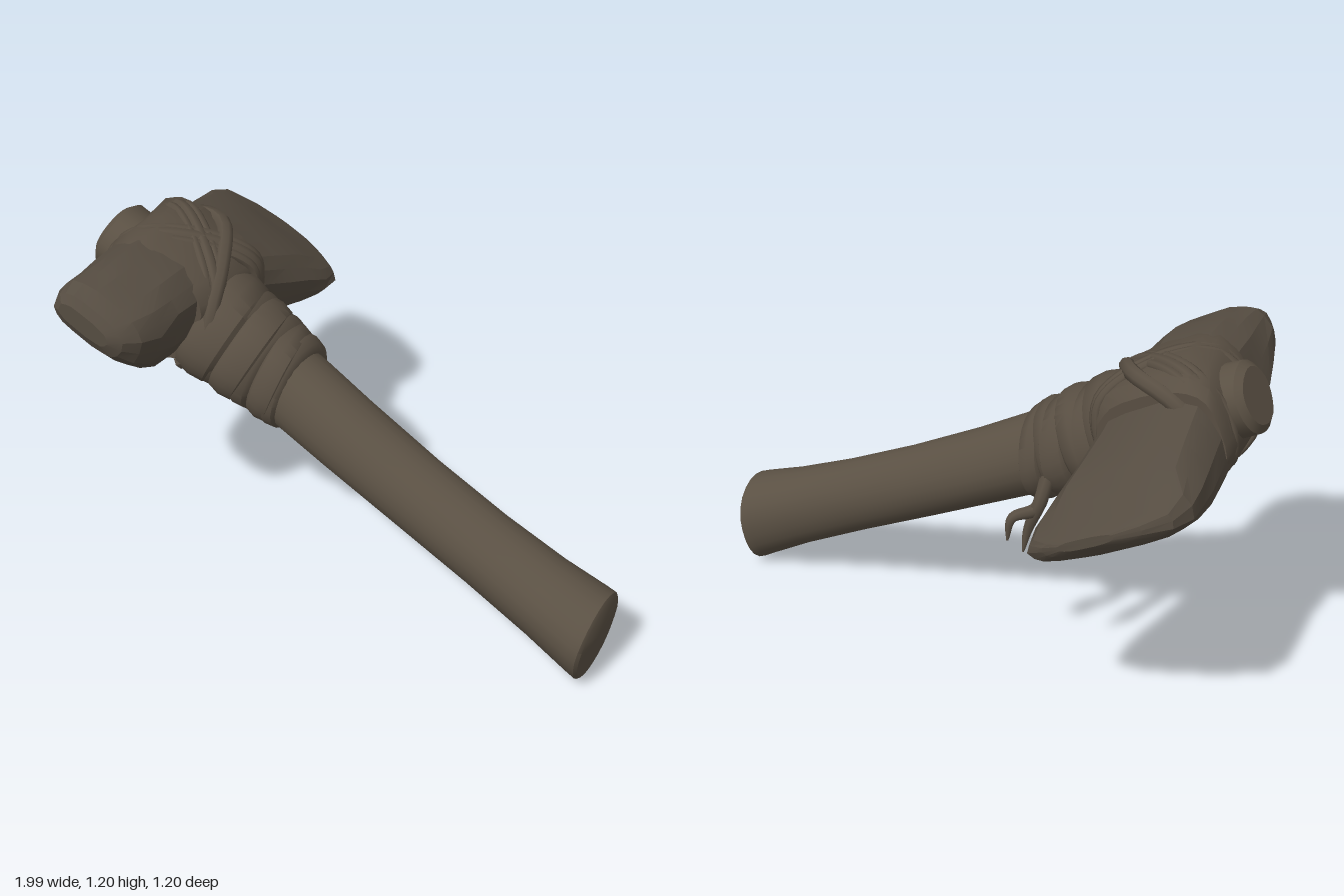
import * as THREE from 'three';
import { toCreasedNormals } from 'three/addons/utils/BufferGeometryUtils.js';

const V = (x, y, z) => new THREE.Vector3(x, y, z);
const TILT = Math.atan(0.4856);

// Skin a list of rings, closed by a fan at both ends
function loft(rings, crease) {
  const n = rings[0].length, pos = [], idx = [];
  rings.forEach(r => r.forEach(p => pos.push(p.x, p.y, p.z)));
  for (let i = 0; i < rings.length - 1; i++)
    for (let j = 0; j < n; j++) {
      const a = i * n + j, b = i * n + (j + 1) % n;
      idx.push(a, b, a + n, b, b + n, a + n);
    }
  [0, rings.length - 1].forEach((k, end) => {
    const c = rings[k].reduce((s, p) => s.add(p), V(0, 0, 0)).divideScalar(n);
    const ci = pos.length / 3;
    pos.push(c.x, c.y, c.z);
    for (let j = 0; j < n; j++) {
      const a = k * n + j, b = k * n + (j + 1) % n;
      idx.push(ci, end ? a : b, end ? b : a);
    }
  });
  const g = new THREE.BufferGeometry();
  g.setAttribute('position', new THREE.Float32BufferAttribute(pos, 3));
  g.setIndex(idx);
  return toCreasedNormals(g, crease);
}

// Superellipse outline point: exponent below 1 squares the corners
const sq = (v, e) => Math.sign(v) * Math.abs(v) ** e;

// Ring across z, for the stone and the lashing under-wrap
function zRing([z, x, y, hx, hy], n, e, rough) {
  return Array.from({ length: n }, (_, j) => {
    const a = (j / n) * Math.PI * 2;
    const k = 1 + rough * Math.sin(j * 5.3 + z * 23) * Math.cos(j * 2.1 - z * 31);
    return V(x + hx * sq(Math.cos(a), e) * k, y + hy * sq(Math.sin(a), e) * k, z);
  });
}

// Ring across the handle direction, with a lean of the ring plane
function xRing([x, y, z, ry, rz], n, leanY, leanZ, rough) {
  return Array.from({ length: n }, (_, j) => {
    const a = (j / n) * Math.PI * 2;
    const k = 1 + rough * Math.sin(a * 3 + x * 2) + rough * 0.6 * Math.sin(a * 5 - x * 3);
    const dy = ry * Math.cos(a) * k, dz = rz * Math.sin(a) * k;
    return V(x + dy * leanY + dz * leanZ, y + dy, z + dz);
  });
}

// Cord along points; taper shrinks it towards its tip
function cord(points, radius, closed, taper = 0) {
  const curve = new THREE.CatmullRomCurve3(points, closed);
  const segs = closed ? 56 : 20, sides = 8;
  const g = new THREE.TubeGeometry(curve, segs, radius, sides, closed);
  const p = g.attributes.position, v = V(0, 0, 0);
  for (let i = 0; i < p.count && taper; i++) {
    const t = Math.floor(i / (sides + 1)) / segs, c = curve.getPointAt(t);
    v.fromBufferAttribute(p, i).sub(c).multiplyScalar(1 - taper * t * t * t).add(c);
    p.setXYZ(i, v.x, v.y, v.z);
  }
  g.computeVertexNormals();
  return g;
}

export function createModel() {
  const root = new THREE.Group();
  const axe = new THREE.Group();
  axe.name = 'axe';
  axe.position.set(-0.71, 0.973, 0);
  axe.rotation.z = -TILT;
  root.add(axe);

  const make = (color, name) => {
    const m = new THREE.MeshStandardMaterial({ color });
    m.name = name;
    return m;
  };
  const wood = make(0x5b5144, 'wood');
  const stone = make(0x554c41, 'stone');
  const hide = make(0x584e42, 'hide');
  const add = (geometry, material, name, parent = axe) => {
    const mesh = new THREE.Mesh(geometry, material);
    mesh.name = name;
    parent.add(mesh);
  };

  // Handle: x, y, z, radius in y, radius in z, lean
  const handle = [
    [-0.275, 0, 0.075, 0.095, 0.1, 0], [-0.255, 0, 0.075, 0.12, 0.125, 0],
    [0, 0, 0.085, 0.13, 0.13, 0], [0.45, -0.012, 0.105, 0.142, 0.14, 0],
    [0.8, -0.018, 0.122, 0.132, 0.135, 0], [1.1, -0.018, 0.135, 0.129, 0.128, -0.05],
    [1.4, -0.012, 0.148, 0.13, 0.128, -0.15], [1.65, -0.005, 0.158, 0.138, 0.138, -0.25],
    [1.82, 0, 0.163, 0.152, 0.152, -0.3], [1.858, 0, 0.163, 0.155, 0.153, -0.3],
    [1.868, 0, 0.163, 0.143, 0.14, -0.3],
  ];
  add(loft(handle.map(s => xRing(s, 24, s[5], 0, 0.018)), 0.6), wood, 'handle');

  // Stone head: z, x, y, half width, half thickness; thin cutting edge at the back
  const head = [
    [-0.602, 0.1, -0.11, 0.1, 0.016], [-0.585, 0.09, -0.115, 0.18, 0.03],
    [-0.55, 0.082, -0.12, 0.262, 0.052],
    [-0.47, 0.068, -0.115, 0.28, 0.09], [-0.39, 0.052, -0.1, 0.265, 0.12],
    [-0.28, 0.036, -0.083, 0.243, 0.145], [-0.17, 0.018, -0.055, 0.225, 0.158],
    [-0.05, 0, -0.02, 0.212, 0.168], [0.1, 0, 0.005, 0.2, 0.185],
    [0.25, 0.002, 0.02, 0.192, 0.19], [0.36, 0, 0.03, 0.19, 0.18],
    [0.45, -0.005, 0.052, 0.182, 0.148], [0.53, -0.018, 0.078, 0.168, 0.106],
    [0.58, -0.03, 0.088, 0.138, 0.07], [0.6, -0.04, 0.092, 0.1, 0.035],
  ];
  add(loft(head.map(s => zRing(s, 18, 0.72, 0.035)), 0.3), stone, 'stoneHead');

  // Under-wrap covering the joint between stone and handle
  const wrap = [
    [-0.13, 0, -0.015, 0.215, 0.165], [-0.09, 0.01, 0, 0.235, 0.19],
    [0.06, 0.015, 0.005, 0.225, 0.208], [0.2, 0.015, 0.01, 0.225, 0.203],
    [0.26, 0.01, 0.015, 0.2, 0.185],
  ];
  add(loft(wrap.map(s => zRing(s, 28, 0.7, 0.02)), 0.7), hide, 'jointWrap');

  // Overlapping bands round the neck: start, end, radius, lean in y, lean in z
  const bands = [
    [0.15, 0.31, 0.195, 0.05, 0.12], [0.23, 0.36, 0.184, -0.1, -0.15],
    [0.29, 0.42, 0.184, 0.05, 0.12], [0.37, 0.48, 0.174, -0.15, -0.1],
    [0.43, 0.535, 0.168, -0.1, 0.15], [0.49, 0.58, 0.162, -0.25, -0.05],
  ];
  bands.forEach(([a, b, r, ly, lz], i) => {
    const rings = [[0, 0.86], [0.15, 0.98], [0.5, 1.02], [0.85, 0.97], [1, 0.84]].map(([t, k]) =>
      xRing([a + (b - a) * t, -0.01, 0.1, r * k, r * k * 1.04], 28, ly, lz, 0.02));
    add(loft(rings, 0.7), hide, 'neckBand' + (i + 1));
  });

  // Crossed lashings hugging the joint, mirrored front to back
  const loop = [
    [-0.15, 0.145, -0.06], [0, 0.204, 0.05], [0.18, 0.16, 0.18], [0.23, 0, 0.2],
    [0.18, -0.15, 0.18], [0, -0.195, 0.06], [-0.155, -0.14, -0.055], [-0.2, 0, -0.07],
  ];
  for (const side of [1, -1])
    [[-0.04, 0.018], [0, 0.024], [0.04, 0.018]].forEach(([d, r], i) => {
      const pts = loop.map(([x, y, z]) =>
        V(x + d * 0.3, y, 0.06 + side * (z - 0.06 - d * 0.7)));
      add(cord(pts, r, true), hide, (side > 0 ? 'lashing' : 'crossLashing') + (i + 1));
    });

  // Heavy cord arching from the neck over the top of the stone
  add(cord([V(0.2, -0.13, 0.24), V(0.255, 0, 0.262), V(0.2, 0.145, 0.21), V(0.135, 0.2, 0.1),
    V(0.02, 0.2, -0.07), V(-0.09, 0.12, -0.13), V(-0.13, 0.04, -0.13)], 0.028, false),
  hide, 'topCord');

  // Frayed cord ends hanging behind the neck
  const tails = [[-0.44, 0.76, -0.365, 0.475, -0.15], [-0.43, 0.72, -0.395, 0.5, -0.13],
    [-0.3, 0.72, -0.235, 0.44, -0.11], [-0.29, 0.7, -0.2, 0.5, -0.16]];
  tails.forEach(([x0, y0, x1, y1, z1], i) => {
    const pts = [V(x0, y0, -0.05), V(x0 + 0.02, y0 - 0.1, -0.085),
      V(x1 - 0.01, y1 + 0.08, z1 + 0.015), V(x1, y1, z1)];
    add(cord(pts, 0.025, false, 0.85), hide, 'cordEnd' + (i + 1), root);
  });

  // Rest on the ground, centred
  root.updateMatrixWorld(true);
  const box = new THREE.Box3().setFromObject(root, true);
  const c = box.getCenter(V(0, 0, 0));
  root.children.forEach(o => o.position.sub(V(c.x, box.min.y, c.z)));
  return root;
}
